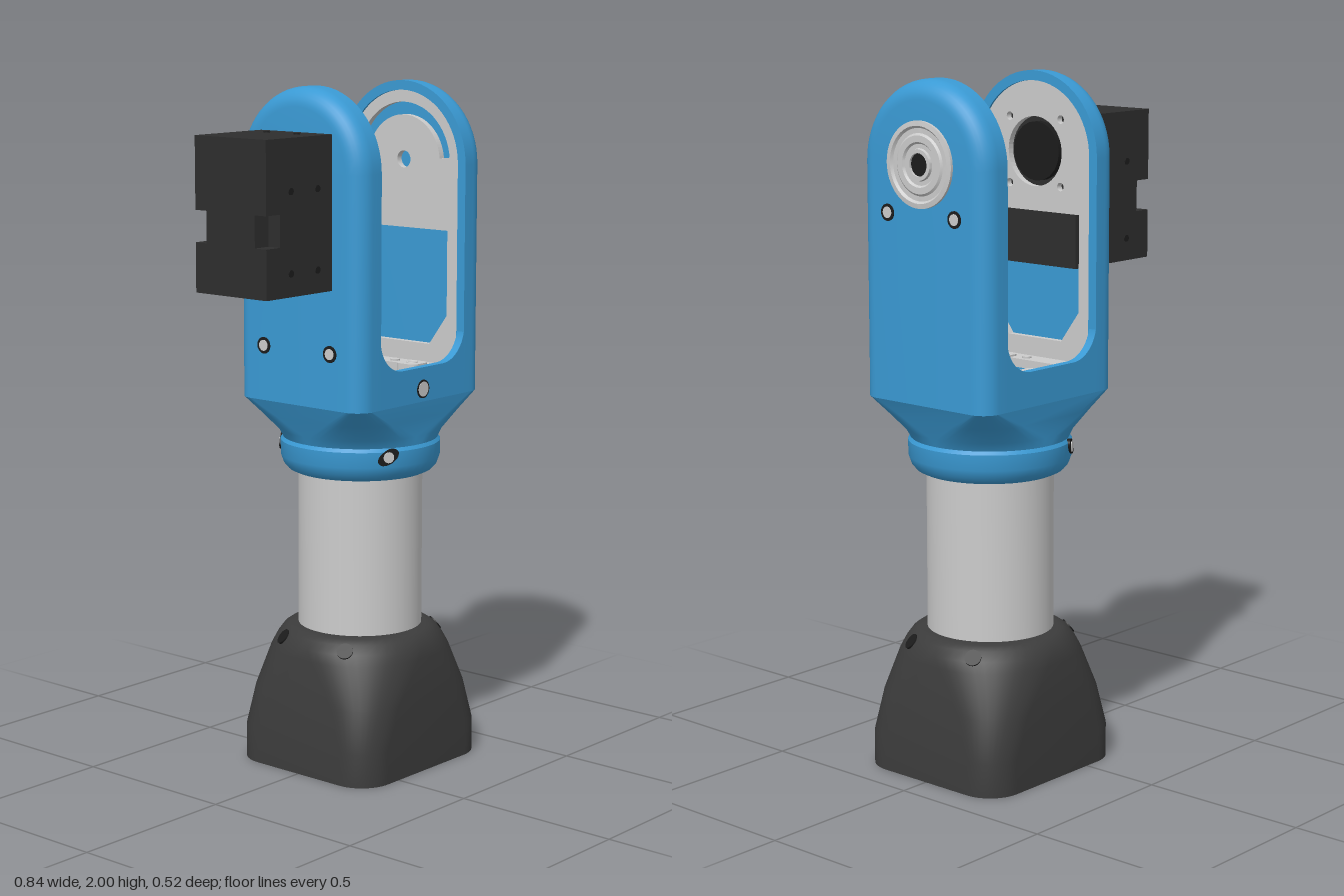
import * as THREE from 'three';
import { toCreasedNormals } from 'three/addons/utils/BufferGeometryUtils.js';

const CX = 0.13; // axis of tube, foot and fork
const mat = (color) => new THREE.MeshStandardMaterial({ color, side: THREE.DoubleSide });
const BLUE = mat(0x3a9ad4), DARK = mat(0x3c3c3c), MOTOR = mat(0x2e2e2e), BLACK = mat(0x1c1c1c), GREY = mat(0xcccccc);

function add(parent, name, geo, material, x = 0, y = 0, z = 0) {
  const m = new THREE.Mesh(geo, material);
  m.name = name;
  m.position.set(x, y, z);
  parent.add(m);
  return m;
}

// Skin a list of equally long point rows
function loft(rows, flip = false, crease = 0.6) {
  const n = rows[0].length, idx = [];
  for (let i = 0; i < rows.length - 1; i++) for (let j = 0; j < n - 1; j++) {
    const a = i * n + j, b = a + n, c = a + 1, d = b + 1;
    if (flip) idx.push(a, c, b, b, c, d);
    else idx.push(a, b, c, b, d, c);
  }
  const g = new THREE.BufferGeometry();
  g.setAttribute('position', new THREE.Float32BufferAttribute(rows.flat(2), 3));
  g.setIndex(idx);
  return toCreasedNormals(g, crease);
}

// Horizontal rounded rectangle; a circle when hx = hz = r
function ring([y, hx, hz = hx, r = hx]) {
  const pts = [];
  for (let q = 0; q < 4; q++) for (let k = 0; k <= 12; k++) {
    const a = (q + k / 12) * Math.PI / 2;
    const sx = q === 0 || q === 3 ? 1 : -1, sz = q < 2 ? 1 : -1;
    pts.push([CX + sx * (hx - r) + r * Math.cos(a), y, sz * (hz - r) + r * Math.sin(a)]);
  }
  pts.push(pts[0].slice());
  return pts;
}

// Arch outline of a fork arm, inset by d, at the given x
function arch(x, d) {
  const r = 0.235 - d, pts = [[x, 1.1, -r]];
  for (let k = 0; k <= 32; k++) {
    const a = Math.PI * k / 32;
    pts.push([x, 1.765 + r * Math.sin(a), -r * Math.cos(a)]);
  }
  pts.push([x, 1.1, r]);
  return pts;
}

// Hollow arm with a rounded outer edge
function arm(outer, inner) {
  const s = Math.sign(outer - inner), R = 0.055, rows = [arch(outer, 0.235)];
  for (let k = 0; k <= 8; k++) {
    const t = k / 8 * Math.PI / 2;
    rows.push(arch(outer - s * R * (1 - Math.cos(t)), R * (1 - Math.sin(t))));
  }
  const floor = outer - s * 0.02;
  rows.push(arch(inner, 0), arch(inner, 0.028), arch(floor, 0.028), arch(floor, 0.235));
  return loft(rows, s < 0);
}

const circle = (x, y, r) => new THREE.Path().absarc(x, y, r, 0, Math.PI * 2, true);
const poly = (pts, Type = THREE.Path) => new Type(pts.map((p) => new THREE.Vector2(...p)));
function extrude(shape, depth) {
  return new THREE.ExtrudeGeometry(shape, { depth, bevelEnabled: false, curveSegments: 24 });
}

// Upright bracket plate, drawn in (z, y) and turned to face x
function plate(holes) {
  const s = new THREE.Shape();
  s.moveTo(-0.207, 1.15);
  s.lineTo(0.207, 1.15);
  s.lineTo(0.207, 1.765);
  s.absarc(0, 1.765, 0.207, 0, Math.PI, false);
  s.closePath();
  s.holes.push(...holes);
  return extrude(s, 0.02).rotateY(Math.PI / 2);
}
const window_ = (top) => poly([[-0.1, 1.23], [0.1, 1.23], [0.165, 1.32], [0.165, top], [-0.165, top], [-0.165, 1.32]]);

// Short cylinder whose axis follows a direction
function stud(parent, name, r, len, material, pos, dir) {
  const m = add(parent, name, new THREE.CylinderGeometry(r, r, len, 20), material, ...pos);
  m.quaternion.setFromUnitVectors(new THREE.Vector3(0, 1, 0), new THREE.Vector3(...dir).normalize());
  return m;
}

export function createModel() {
  const root = new THREE.Group();

  // Foot: rounded square base rising to a round shoulder, with a stepped bore
  const foot = new THREE.Group();
  foot.name = 'foot';
  root.add(foot);
  add(foot, 'footShell', loft([
    [0, 0.205], [0, 0.28, 0.26, 0.1], [0.1, 0.28, 0.26, 0.1], [0.22, 0.266, 0.256, 0.14],
    [0.34, 0.252, 0.25, 0.22], [0.37, 0.245, 0.243, 0.236], [0.395, 0.228], [0.407, 0.21],
    [0.41, 0.195], [0.41, 0.18], [0.14, 0.18], [0.14, 0.205], [0, 0.205],
  ].map(ring)), DARK);
  for (const sx of [-1, 1]) for (const sz of [-1, 1]) {
    stud(foot, 'footScrewHole', 0.024, 0.03, BLACK, [CX + sx * 0.2, 0.372, sz * 0.115], [sx * 0.8, 0.75, sz * 0.46]);
  }
  for (const s of [-1, 1]) add(foot, 'footKey', new THREE.BoxGeometry(0.03, 0.06, 0.08), DARK, CX + s * 0.195, 0.09, 0);

  // Tube, open at both ends
  const tubeProfile = [[0.166, 0.15], [0.183, 0.15], [0.183, 1.11], [0.166, 1.11], [0.166, 0.15]];
  add(root, 'tube', toCreasedNormals(new THREE.LatheGeometry(tubeProfile.map((p) => new THREE.Vector2(...p)), 64), 0.6), GREY, CX);

  // Fork: collar, two arms and the low walls between them
  const fork = new THREE.Group();
  fork.name = 'fork';
  root.add(fork);
  add(fork, 'collar', loft([
    [0.875, 0.183], [0.875, 0.198], [0.882, 0.213], [0.897, 0.226], [0.92, 0.234], [0.965, 0.235],
    [0.975, 0.228], [1.0, 0.238, 0.229, 0.215], [1.05, 0.26, 0.232, 0.14], [1.1, 0.28, 0.235, 0.055],
    [1.1, 0.255, 0.21, 0.04], [1.0, 0.213, 0.206, 0.195], [0.96, 0.2], [0.96, 0.183], [0.875, 0.183],
  ].map(ring)), BLUE);
  add(fork, 'leftArm', arm(0.41, 0.318), BLUE);
  add(fork, 'rightArm', arm(-0.15, -0.058), BLUE);
  const wall = new THREE.Shape();
  wall.moveTo(-0.06, 1.1);
  wall.lineTo(0.32, 1.1);
  wall.lineTo(0.32, 1.3);
  wall.absarc(0.22, 1.3, 0.1, 0, -Math.PI / 2, true);
  wall.absarc(0.04, 1.3, 0.1, -Math.PI / 2, -Math.PI, true);
  wall.closePath();
  for (const z of [-0.235, 0.21]) add(fork, 'forkWall', extrude(wall, 0.025), BLUE, 0, 0, z);

  // Screws in the fork
  stud(fork, 'frontScrewHole', 0.027, 0.01, BLACK, [CX, 1.137, 0.232], [0, 0, 1]);
  stud(fork, 'frontScrew', 0.022, 0.012, GREY, [CX, 1.137, 0.232], [0, 0, 1]);
  for (const s of [-1, 1]) {
    const hole = stud(fork, 'collarSlot', 0.02, 0.02, BLACK, [CX - 0.113, 0.95, s * 0.198], [-0.5, 0, s * 0.87]);
    hole.scale.set(1.7, 1, 1);
    stud(fork, 'collarScrew', 0.016, 0.024, GREY, [CX - 0.113, 0.95, s * 0.198], [-0.5, 0, s * 0.87]);
    for (const [x, y, d] of [[0.41, 1.63, 1], [-0.15, 1.26, -1]]) {
      stud(fork, 'armScrewHole', 0.024, 0.006, BLACK, [x, y, s * 0.125], [d, 0, 0]);
      stud(fork, 'armScrew', 0.016, 0.009, GREY, [x, y, s * 0.125], [d, 0, 0]);
    }
  }

  // Bearing on the left arm
  const rings = [[0.12, 0], [0.12, 0.018], [0.106, 0.02], [0.1, 0.013], [0.086, 0.013], [0.08, 0.018],
    [0.062, 0.018], [0.057, 0.012], [0.045, 0.012], [0.043, 0.02], [0.032, 0.02], [0.032, 0.005]];
  const bearing = add(root, 'bearing', toCreasedNormals(
    new THREE.LatheGeometry(rings.map((p) => new THREE.Vector2(...p)), 48), 0.4), GREY, 0.4, 1.77, 0);
  bearing.rotation.z = -Math.PI / 2;
  stud(root, 'bearingBore', 0.033, 0.01, BLACK, [0.408, 1.77, 0], [1, 0, 0]);

  // Bracket inside the fork
  const bracket = new THREE.Group();
  bracket.name = 'bracket';
  root.add(bracket);
  const slot = new THREE.Path();
  slot.absarc(0, 1.765, 0.172, 0.1, Math.PI - 0.1, false);
  slot.absarc(0, 1.765, 0.135, Math.PI - 0.1, 0.1, true);
  slot.closePath();
  add(bracket, 'leftPlate', plate([slot, circle(0, 1.77, 0.025), window_(1.57)]), GREY, 0.325);
  const bolts = [0.25, 0.75, 1.25, 1.75].map((t) => circle(0.135 * Math.cos(t * Math.PI), 1.77 + 0.135 * Math.sin(t * Math.PI), 0.012));
  add(bracket, 'rightPlate', plate([circle(0, 1.77, 0.1), window_(1.6), ...bolts]), GREY, -0.085);

  // Bracket floor with a central opening and bolt holes
  const floor = poly([[-0.08, -0.207], [0.34, -0.207], [0.34, 0.207], [-0.08, 0.207]], THREE.Shape);
  const opening = new THREE.Path();
  for (const [x, y, a] of [[0.235, 0.15, 0], [0.025, 0.15, 1], [0.025, -0.15, 2], [0.235, -0.15, 3]]) {
    opening.absarc(x, y, 0.027, a * Math.PI / 2, (a + 1) * Math.PI / 2, false);
  }
  opening.closePath();
  floor.holes.push(opening);
  for (const x of [-0.04, 0.3]) for (const y of [-0.145, 0.145]) floor.holes.push(circle(x, y, 0.01));
  add(bracket, 'floorPlate', extrude(floor, 0.025).rotateX(-Math.PI / 2), GREY, 0, 1.15);
  for (const x of [-0.03, 0.29]) stud(bracket, 'floorBolt', 0.014, 0.008, GREY, [x, 1.176, 0], [0, 1, 0]);

  // Lugs that bolt the floor to the tube
  for (const [x, z] of [[CX, -0.16], [-0.01, 0.08], [0.27, 0.08]]) {
    const lug = new THREE.Shape();
    lug.absarc(0.017, 0.017, 0.02, 0, Math.PI / 2, false);
    lug.absarc(-0.017, 0.017, 0.02, Math.PI / 2, Math.PI, false);
    lug.absarc(-0.017, -0.017, 0.02, Math.PI, Math.PI * 1.5, false);
    lug.absarc(0.017, -0.017, 0.02, Math.PI * 1.5, Math.PI * 2, false);
    add(bracket, 'lug', extrude(lug, 0.075).rotateX(-Math.PI / 2), GREY, x, 1.105, z);
    const rim = add(bracket, 'lugBolt', new THREE.TorusGeometry(0.014, 0.004, 8, 20), GREY, x, 1.18, z);
    rim.rotation.x = Math.PI / 2;
  }

  // Motor: block with notched end corners, through the right arm
  const motor = new THREE.Group();
  motor.name = 'motor';
  root.add(motor);
  const block = (x0, x1, y0, y1, hz) => add(motor, 'motorBlock', new THREE.BoxGeometry(x1 - x0, y1 - y0, hz * 2),
    MOTOR, (x0 + x1) / 2, (y0 + y1) / 2, 0);
  block(-0.42, -0.09, 1.67, 1.875, 0.132);
  block(-0.42, -0.09, 1.44, 1.58, 0.132);
  block(-0.365, -0.09, 1.58, 1.67, 0.132);
  block(-0.42, -0.365, 1.58, 1.67, 0.09);
  stud(motor, 'motorHorn', 0.085, 0.02, BLACK, [-0.08, 1.77, 0], [1, 0, 0]);
  for (const s of [-1, 1]) {
    for (const x of [-0.32, -0.21]) for (const y of [1.505, 1.73]) {
      stud(motor, 'motorScrewHole', 0.01, 0.004, BLACK, [x, y, s * 0.132], [0, 0, 1]);
    }
    stud(motor, 'motorTopHole', 0.01, 0.004, BLACK, [-0.21, 1.875, s * 0.056], [0, 1, 0]);
  }
  return root;
}
